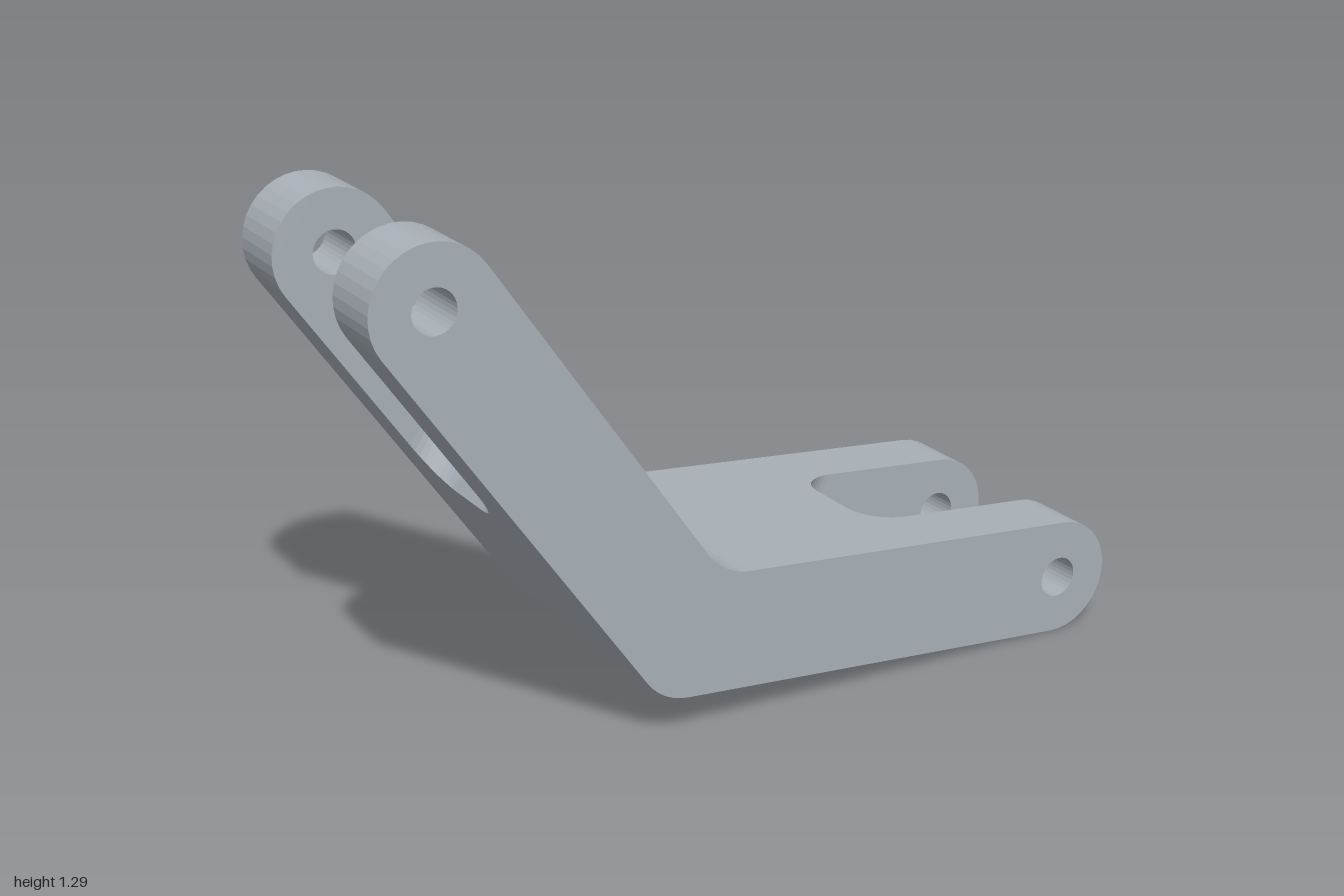
import * as THREE from 'three';

// Pivot centres, elbow centre and main sizes
const RIGHT = new THREE.Vector2(0.852, 0.148);
const LEFT = new THREE.Vector2(-0.852, 1.14);
const ELBOW = new THREE.Vector2(-0.236, 0.249);
const R = 0.148;            // half thickness of the arms
const HOLE = 0.052;
const HALF_WIDTH = 0.345;
const SLOT = 0.168;         // half width of the fork slots
const SLOT_START = 0.545;   // distance from the inner elbow corner to a slot
const CORNER = 0.1;         // rounding of the slot corners

// Directions: along both arms, and along the mitre between them
const armA = RIGHT.clone().sub(ELBOW).normalize();
const armB = LEFT.clone().sub(ELBOW).normalize();
const mitre = armA.clone().add(armB).normalize();
const sinHalf = Math.abs(armA.cross(mitre));
const normalA = Math.atan2(armA.y, armA.x) + Math.PI / 2;
const normalB = Math.atan2(armB.y, armB.x) - Math.PI / 2;
const along = (p, dir, t) => p.clone().addScaledVector(dir, t);

function arc(c, from, to, steps) {
  return Array.from({ length: steps + 1 }, (_, i) => {
    const a = from + ((to - from) * i) / steps;
    return new THREE.Vector2(c.x + R * Math.cos(a), c.y + R * Math.sin(a));
  });
}

const innerBend = arc(along(ELBOW, mitre, (2 * R) / sinHalf), normalA + Math.PI, normalB + Math.PI, 6);
const outerBend = arc(ELBOW, normalB + Math.PI, normalA + Math.PI, 6);

// Side plate: the full bent outline with both pivot holes
function cheekGeometry() {
  const shape = new THREE.Shape([
    ...arc(RIGHT, normalA - Math.PI, normalA, 18),
    ...innerBend,
    ...arc(LEFT, normalB, normalB + Math.PI, 18),
    ...outerBend,
  ]);
  for (const c of [RIGHT, LEFT]) {
    shape.holes.push(new THREE.Path().absarc(c.x, c.y, HOLE, 0, Math.PI * 2, true));
  }
  return new THREE.ExtrudeGeometry(shape, { depth: HALF_WIDTH - SLOT, bevelEnabled: false, curveSegments: 16 });
}

// Centre web: lofted across z, with mitred ends and rounded slot corners
function webGeometry() {
  const zs = [];
  const steps = 10;
  for (let i = 0; i <= steps; i++) {
    zs.push(SLOT - CORNER + CORNER * Math.sin((i / steps) * Math.PI / 2));
  }
  const sections = [...zs.map((z) => -z).reverse(), ...zs];
  const top = along(ELBOW, mitre, R / sinHalf);
  const bottom = along(ELBOW, mitre, -R / sinHalf);
  const positions = [];
  const index = [];
  let n = 0;
  sections.forEach((z, k) => {
    const t = Math.abs(z) - (SLOT - CORNER);
    const inset = CORNER - Math.sqrt(Math.max(0, CORNER * CORNER - t * t));
    const s = SLOT_START + inset / sinHalf;
    const ring = [
      along(top, armA, s), ...innerBend, along(top, armB, s),
      along(bottom, armB, s), ...outerBend, along(bottom, armA, s),
    ];
    n = ring.length;
    ring.forEach((p) => positions.push(p.x, p.y, z));
    if (k === 0) return;
    for (let j = 0; j < n; j++) {
      const a = (k - 1) * n + j;
      const b = (k - 1) * n + ((j + 1) % n);
      index.push(a, b, b + n, a, b + n, a + n);
    }
  });
  const geometry = new THREE.BufferGeometry();
  geometry.setAttribute('position', new THREE.Float32BufferAttribute(positions, 3));
  geometry.setIndex(index);
  const flat = geometry.toNonIndexed();
  flat.computeVertexNormals();
  return flat;
}

export function createModel() {
  const model = new THREE.Group();
  model.name = 'bentForkLink';
  const steel = new THREE.MeshStandardMaterial({ color: 0xa9b1b8 });
  steel.name = 'steel grey';

  const cheek = cheekGeometry();
  for (const [name, z] of [['frontCheek', SLOT], ['backCheek', -HALF_WIDTH]]) {
    const mesh = new THREE.Mesh(cheek, steel);
    mesh.name = name;
    mesh.position.z = z;
    model.add(mesh);
  }

  const web = new THREE.Mesh(webGeometry(), steel);
  web.name = 'centreWeb';
  model.add(web);
  return model;
}
